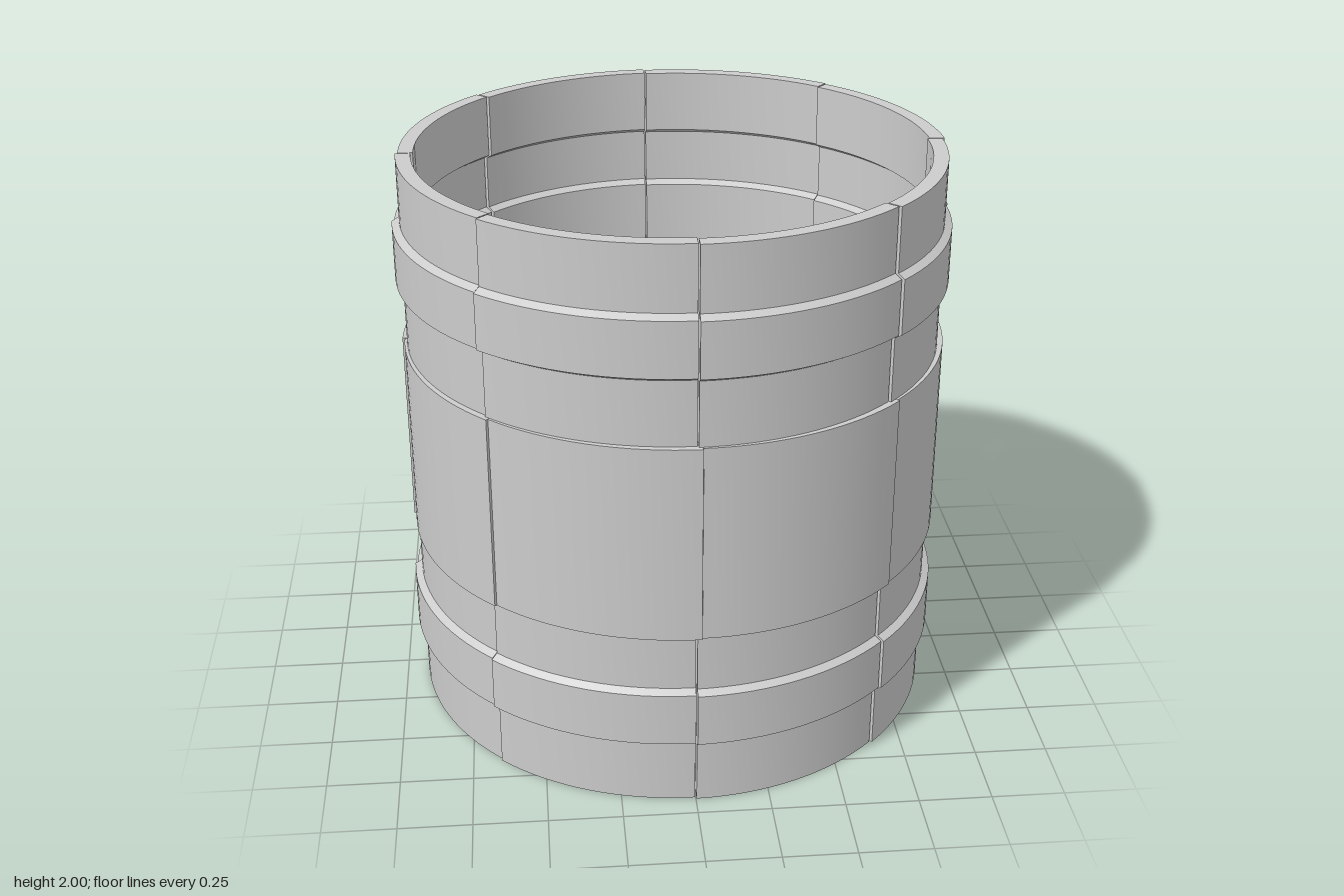
import * as THREE from 'three';

const material = new THREE.MeshStandardMaterial({ color: 0xcccccc, side: THREE.DoubleSide });
const STEPS = 16; // facets along each curved panel

// Sweep a closed [radius, y] section around the y axis from angle a0 to a1 (0 = front, towards +x).
// The radius drifts from +d to -d, so neighbouring panels meet with a small step.
function panelGeometry(section, a0, a1, d) {
  const pos = [], index = [];
  const push = ([r, y], t) => {
    const a = a0 + (a1 - a0) * t, rr = r + d * (1 - 2 * t);
    pos.push(rr * Math.sin(a), y, rr * Math.cos(a));
  };
  // one strip per section edge: smooth around, sharp across
  section.forEach((p, i) => {
    const q = section[(i + 1) % section.length], base = pos.length / 3;
    for (let s = 0; s <= STEPS; s++) {
      push(p, s / STEPS);
      push(q, s / STEPS);
      if (s < STEPS) {
        const k = base + s * 2;
        index.push(k, k + 2, k + 1, k + 1, k + 2, k + 3);
      }
    }
  });
  // end caps
  const faces = THREE.ShapeUtils.triangulateShape(section.map(([r, y]) => new THREE.Vector2(r, y)), []);
  for (const t of [0, 1]) {
    const base = pos.length / 3;
    section.forEach((p) => push(p, t));
    for (const [a, b, c] of faces) {
      if (t) index.push(base + a, base + b, base + c);
      else index.push(base + a, base + c, base + b);
    }
  }
  const g = new THREE.BufferGeometry();
  g.setAttribute('position', new THREE.Float32BufferAttribute(pos, 3));
  g.setIndex(index);
  g.computeVertexNormals();
  return g;
}

// A full ring of eight panels split at the given seam angles
function ring(name, section, seams, d, gap) {
  const group = new THREE.Group();
  group.name = name;
  seams.forEach((s, i) => {
    const e = i + 1 < seams.length ? seams[i + 1] : seams[0] + 360;
    const rad = THREE.MathUtils.degToRad;
    const mesh = new THREE.Mesh(panelGeometry(section, rad(s + gap), rad(e - gap), d), material);
    mesh.name = `${name}Panel${i + 1}`;
    group.add(mesh);
  });
  return group;
}

// Wall section with a pressed bead: the inside follows the outside
function beadedSection(y0, y1, beadY) {
  const wall = (r) => [
    [r, y0], [r, beadY], [r + 0.025, beadY + 0.015],
    [r + 0.025, beadY + 0.205], [r, beadY + 0.22], [r, y1],
  ];
  return [...wall(0.921), ...wall(0.87).reverse()];
}

export function createModel() {
  const model = new THREE.Group();
  model.name = 'sleeve';
  const endSeams = [0, 44.5, 90, 137.3, 182, 225.5, 270.5, 315];
  const bandSeams = [1, 46.3, 91, 136, 181, 226, 271, 316.3];

  // Beaded collars at both ends
  model.add(ring('lowerCollar', beadedSection(0, 0.655, 0.225), endSeams, 0.004, 0.15));
  model.add(ring('upperCollar', beadedSection(1.325, 2, 1.56), endSeams, 0.004, 0.15));

  // Plain middle band, its panels lapped the opposite way
  const band = [[0.937, 0.645], [0.937, 1.335], [0.864, 1.335], [0.864, 0.645]];
  model.add(ring('middleBand', band, bandSeams, -0.004, 0.05));
  return model;
}
